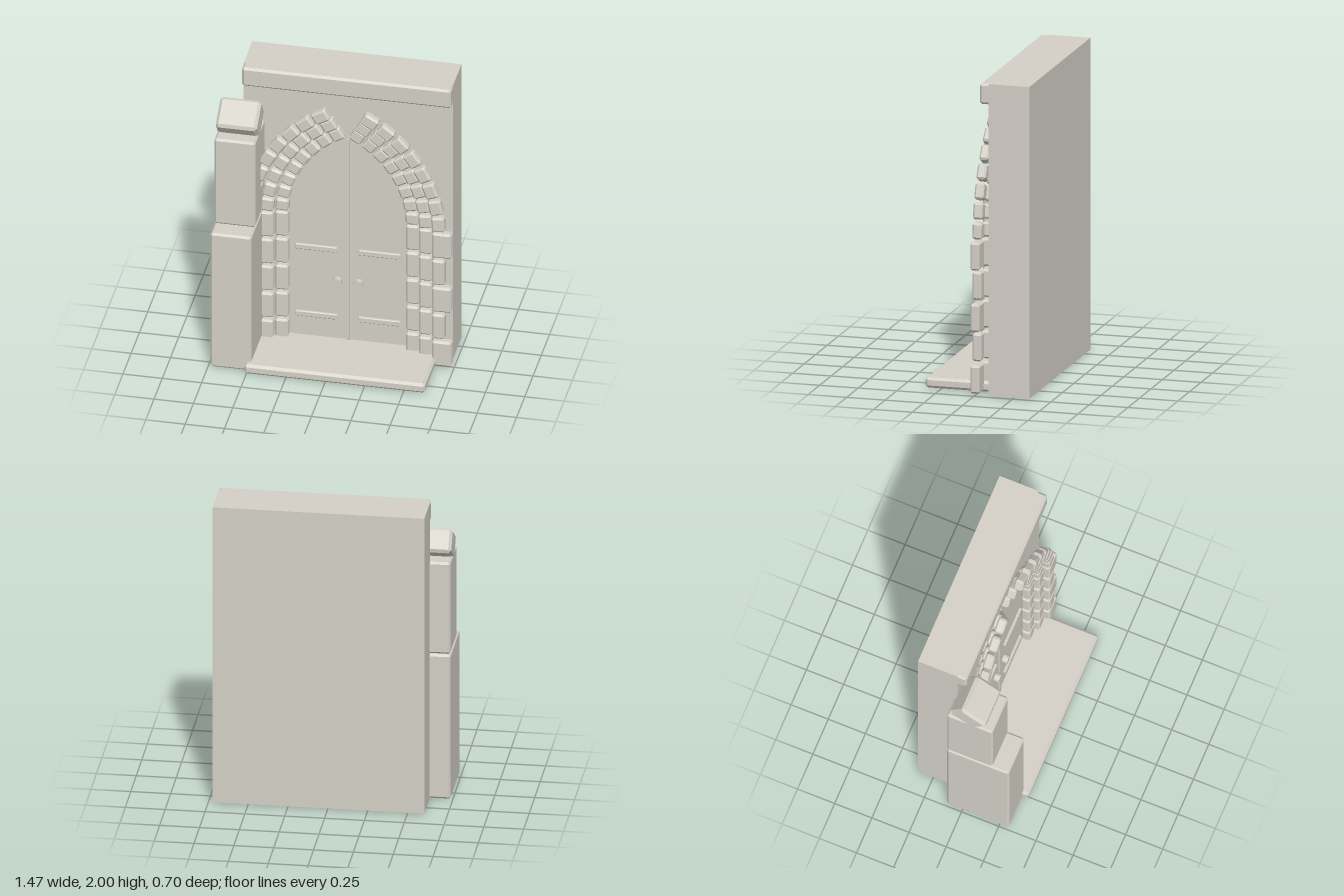
import * as THREE from 'three';
import { ConvexGeometry } from 'three/addons/geometries/ConvexGeometry.js';

function flatColour(name, color) {
  const material = new THREE.MeshStandardMaterial({ color });
  material.name = name;
  return material;
}
const stone = flatColour('pale warm stone', 0xd4d0c7);
const shadowStone = flatColour('dark underside', 0x74716b);

const DOOR_X = 0.06; // centre line of the doorway
const WALL_Z = -0.088; // front of the wall

// Box with flat chamfers on all edges, centred on the origin
function chamferBox(w, h, d, c) {
  const points = [];
  for (const x of [-1, 1]) for (const y of [-1, 1]) for (const z of [-1, 1]) {
    for (let axis = 0; axis < 3; axis++) {
      const cut = [c, c, c];
      cut[axis] = 0;
      points.push(new THREE.Vector3(x * (w / 2 - cut[0]), y * (h / 2 - cut[1]), z * (d / 2 - cut[2])));
    }
  }
  return new ConvexGeometry(points);
}

function add(parent, name, geometry, x = 0, y = 0, z = 0, material = stone) {
  const mesh = new THREE.Mesh(geometry, material);
  mesh.name = name;
  mesh.position.set(x, y, z);
  parent.add(mesh);
  return mesh;
}

// Block given by its limits on each axis; c is the chamfer
function block(parent, name, [x0, x1], [y0, y1], [z0, z1], c = 0) {
  const size = [x1 - x0, y1 - y0, z1 - z0];
  const geometry = c ? chamferBox(...size, c) : new THREE.BoxGeometry(...size);
  return add(parent, name, geometry, (x0 + x1) / 2, (y0 + y1) / 2, (z0 + z1) / 2);
}

// Dark face on the ground, looking down
function underside(parent, name, [x0, x1], [z0, z1]) {
  const geometry = new THREE.PlaneGeometry(x1 - x0, z1 - z0).rotateX(Math.PI / 2);
  add(parent, name, geometry, (x0 + x1) / 2, 0, (z0 + z1) / 2, shadowStone);
}

export function createModel() {
  const model = new THREE.Group();
  model.name = 'stoneDoorway';

  // Wall, cornice and doorstep
  block(model, 'wall', [-0.606, 0.722], [0.003, 2], [-0.352, WALL_Z]);
  block(model, 'cornice', [-0.606, 0.722], [1.867, 2], [-0.16, -0.027], 0.014);
  block(model, 'doorstep', [-0.514, 0.635], [0.003, 0.07], [-0.14, 0.352], 0.016);

  // Stepped buttress with a tilted capstone
  block(model, 'buttressBase', [-0.736, -0.476], [0.003, 0.978], [-0.108, 0.31], 0.013);
  block(model, 'buttressTop', [-0.734, -0.474], [0.983, 1.602], [-0.108, 0.2], 0.013);
  const cap = add(model, 'capstone', chamferBox(0.262, 0.16, 0.205, 0.018), -0.605, 1.672, 0.035);
  cap.rotation.x = 0.63;

  // Dark undersides
  underside(model, 'wallUnderside', [-0.606, 0.722], [-0.352, WALL_Z]);
  underside(model, 'doorstepUnderside', [-0.498, 0.619], [WALL_Z, 0.336]);
  underside(model, 'buttressUnderside', [-0.723, -0.498], [WALL_Z, 0.297]);

  // Pointed double door: each side is an arc struck from beyond the centre line
  const arcX = 0.283, arcY = 0.975, doorR = 0.645;
  const apex = Math.acos(arcX / doorR);
  const half = doorR - arcX;
  const shape = new THREE.Shape();
  shape.moveTo(-half, 0.03);
  shape.lineTo(half, 0.03);
  shape.lineTo(half, arcY);
  shape.absarc(-arcX, arcY, doorR, 0, apex, false);
  shape.absarc(arcX, arcY, doorR, Math.PI - apex, Math.PI, false);
  const doorGeometry = new THREE.ExtrudeGeometry(shape, { depth: 0.03, bevelEnabled: false, curveSegments: 16 });
  add(model, 'door', doorGeometry, DOOR_X, 0, WALL_Z - 0.022);
  block(model, 'doorMeetingStrip', [DOOR_X - 0.011, DOOR_X + 0.011], [0.05, 1.535], [WALL_Z, -0.07]);

  const knobGeometry = new THREE.CylinderGeometry(0.028, 0.028, 0.04, 20).rotateX(Math.PI / 2);
  for (const side of [-1, 1]) {
    for (const y of [0.228, 0.717]) {
      const x = DOOR_X + side * 0.2;
      block(model, 'hingeBar', [x - 0.133, x + 0.133], [y - 0.019, y + 0.019], [WALL_Z, -0.065], 0.005);
    }
    add(model, 'doorKnob', knobGeometry, DOOR_X + side * 0.067, 0.492, -0.065);
  }

  // Three courses of surround stones, each standing further out than the last
  const courses = [
    { r: 0.698, width: 0.084, front: -0.03 },
    { r: 0.786, width: 0.082, front: -0.003 },
    { r: 0.875, width: 0.082, front: 0.03 },
  ];
  const depth = 0.06;
  for (const side of [-1, 1]) {
    const surround = new THREE.Group();
    surround.name = side > 0 ? 'leftSurround' : 'rightSurround';
    surround.position.x = DOOR_X;
    model.add(surround);

    courses.forEach(({ r, width, front }, course) => {
      // Jamb stones, with every other outer stone wider
      for (let row = 0; row < 5; row++) {
        const inner = r - arcX - width / 2;
        const outer = inner + width + (course === 2 && row % 2 === 0 ? 0.042 : 0);
        const xs = side > 0 ? [inner, outer] : [-outer, -inner];
        const y = 0.012 + row * 0.197;
        block(surround, 'jambStone', xs, [y, y + 0.178], [front - depth, front], 0.012);
      }
      // Arch stones, leaving a gap at the point
      const geometry = chamferBox(width, r * 0.118, depth, 0.012);
      for (let i = 0; i < 8; i++) {
        const a = THREE.MathUtils.degToRad(4.2 + i * 7.95);
        const x = -arcX + r * Math.cos(a);
        const archStone = add(surround, 'archStone', geometry, side * x, arcY + r * Math.sin(a), front - depth / 2);
        archStone.rotation.z = side * a;
      }
    });
  }
  return model;
}
